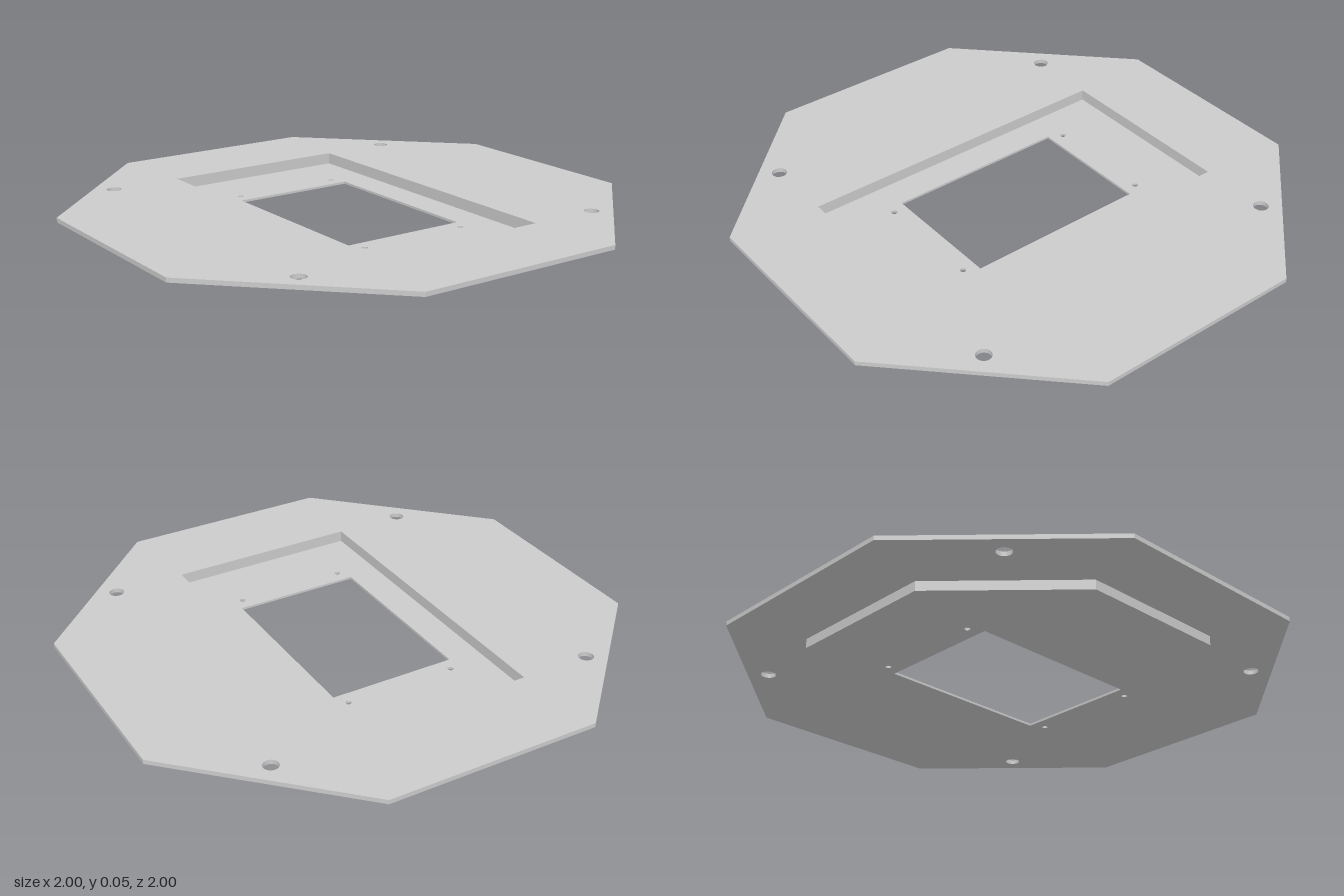
import * as THREE from 'three';

const material = new THREE.MeshStandardMaterial({ color: 0xcccccc, flatShading: true });

// Closed outline of a regular octagon with flats at distance r from the centre
function octagon(r) {
  const c = r * Math.tan(Math.PI / 8);
  return new THREE.Shape([
    [r, -c], [r, c], [c, r], [-c, r], [-r, c], [-r, -c], [-c, -r], [c, -r],
  ].map(([x, y]) => new THREE.Vector2(x, y)));
}

function rectHole(hx, hz) {
  return new THREE.Path([[-hx, -hz], [-hx, hz], [hx, hz], [hx, -hz]]
    .map(([x, y]) => new THREE.Vector2(x, y)));
}

// Four round holes mirrored about both axes
function roundHoles(x, z, r) {
  const holes = [];
  for (const sx of [-1, 1]) for (const sz of [-1, 1]) {
    holes.push(new THREE.Path().absarc(sx * x, sz * z, r, 0, Math.PI * 2, true));
  }
  return holes;
}

// Horizontal octagonal plate from y0 to y1 with the given cut-outs
function plate(name, radius, y0, y1, holes) {
  const shape = octagon(radius);
  shape.holes.push(...holes);
  const geometry = new THREE.ExtrudeGeometry(shape, { depth: y1 - y0, bevelEnabled: false, curveSegments: 12 });
  geometry.rotateX(-Math.PI / 2);
  geometry.translate(0, y0, 0);
  const mesh = new THREE.Mesh(geometry, material);
  mesh.name = name;
  return mesh;
}

export function createModel() {
  const group = new THREE.Group();
  group.name = 'octagonalMountingPlate';
  const floorY = 0.009, flangeY = 0.037, topY = 0.054;
  const pocket = () => rectHole(0.65, 0.372);

  group.add(
    // Thin pocket floor with the window and its four small screw holes
    plate('pocketFloor', 0.73, 0, floorY, [rectHole(0.36, 0.248), ...roundHoles(0.414, 0.217, 0.011)]),
    // Raised boss around the pocket
    plate('boss', 0.73, floorY, flangeY, [pocket()]),
    // Wide flange with corner mounting holes
    plate('flange', 1, flangeY, topY, [pocket(), ...roundHoles(0.651, 0.651, 0.029)]),
  );
  return group;
}
